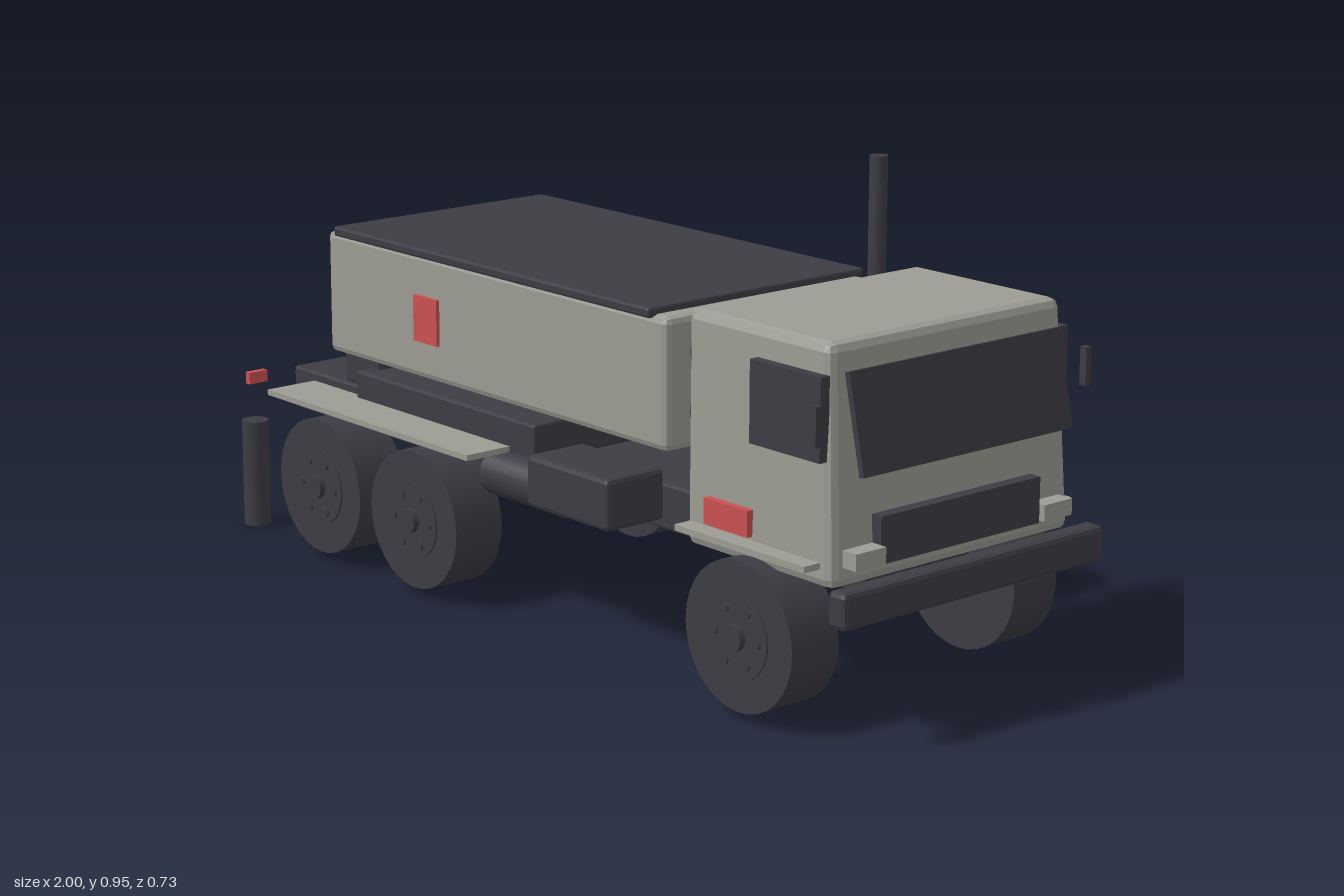
import * as THREE from 'three';
import { RoundedBoxGeometry } from 'three/addons/geometries/RoundedBoxGeometry.js';

const material = (name, color) => {
  const m = new THREE.MeshStandardMaterial({ color });
  m.name = name;
  return m;
};

export function createModel() {
  const grey = material('warm grey paint', 0x9c9c94);
  const dark = material('dark charcoal', 0x3d3c44);
  const red = material('marker red', 0xcb5252);

  const truck = new THREE.Group();
  truck.name = 'truck';

  const add = (name, geometry, mat, x = 0, y = 0, z = 0) => {
    const mesh = new THREE.Mesh(geometry, mat);
    mesh.name = name;
    mesh.position.set(x, y, z);
    truck.add(mesh);
    return mesh;
  };

  // Box given by its extents, with an optional chamfer
  const box = (name, mat, [x0, x1], [y0, y1], [z0, z1], chamfer = 0) => {
    const size = [x1 - x0, y1 - y0, z1 - z0];
    let geometry;
    if (chamfer) {
      geometry = new RoundedBoxGeometry(...size, 1, chamfer);
      geometry.computeVertexNormals();
    } else {
      geometry = new THREE.BoxGeometry(...size);
    }
    return add(name, geometry, mat, (x0 + x1) / 2, (y0 + y1) / 2, (z0 + z1) / 2);
  };

  // The same box on both sides of the truck
  const pair = (name, mat, xs, ys, [z0, z1], chamfer = 0) => {
    box(name + 'Left', mat, xs, ys, [z0, z1], chamfer);
    box(name + 'Right', mat, xs, ys, [-z1, -z0], chamfer);
  };

  // Cylinder along a chosen axis
  const rod = (name, mat, radius, length, axis, x, y, z, sides = 24) => {
    const geometry = new THREE.CylinderGeometry(radius, radius, length, sides);
    if (axis === 'x') geometry.rotateZ(Math.PI / 2);
    if (axis === 'z') geometry.rotateX(Math.PI / 2);
    return add(name, geometry, mat, x, y, z);
  };

  // Chassis, bumper and rear support
  box('chassis', dark, [-0.985, 0.84], [0.225, 0.32], [-0.137, 0.137], 0.006);
  box('bumper', dark, [0.95, 0.995], [0.235, 0.306], [-0.338, 0.338], 0.01);
  box('subframe', dark, [-0.605, 0], [0.32, 0.397], [-0.24, 0.24], 0.006);
  box('rearBlock', dark, [-0.695, -0.57], [0.35, 0.495], [-0.205, 0.205], 0.008);

  // Cab: chamfered box, tapered towards the roof and raked at the front
  const [cabLow, cabHigh] = [0.29, 0.737];
  const cab = new RoundedBoxGeometry(0.39, cabHigh - cabLow, 0.62, 1, 0.018);
  const p = cab.attributes.position;
  for (let i = 0; i < p.count; i++) {
    const t = p.getY(i) / (cabHigh - cabLow) + 0.5;
    const s = p.getX(i) / 0.39 + 0.5;
    const back = 0.538 - 0.012 * t;
    const front = 0.932 - 0.027 * t;
    p.setX(i, back + (front - back) * s);
    p.setZ(i, p.getZ(i) * (1 - 0.045 * t));
  }
  cab.computeVertexNormals();
  add('cab', cab, grey, 0, (cabLow + cabHigh) / 2, 0);

  // Windscreen leaning out from the cab front
  const screen = box('windscreen', dark, [0.936, 0.948], [0.498, 0.688], [-0.27, 0.27]);
  screen.rotation.z = 0.22;

  // Cab details
  box('grille', dark, [0.91, 0.95], [0.325, 0.415], [-0.206, 0.206]);
  pair('headlight', grey, [0.92, 0.963], [0.33, 0.362], [0.206, 0.281]);
  pair('sideWindow', dark, [0.72, 0.905], [0.523, 0.68], [0.296, 0.318]);
  pair('mirror', dark, [0.917, 0.933], [0.563, 0.638], [0.341, 0.355]);
  pair('cabMarker', red, [0.6, 0.72], [0.345, 0.396], [0.3, 0.321]);
  pair('frontFender', grey, [0.55, 0.9], [0.326, 0.338], [0.23, 0.348]);
  pair('rearFender', grey, [-0.78, -0.08], [0.326, 0.338], [0.225, 0.348]);

  // Cargo body, lid and side panels
  box('cargoBody', grey, [-0.655, 0.437], [0.435, 0.697], [-0.271, 0.271], 0.014);
  box('cargoLid', dark, [-0.62, 0.396], [0.69, 0.711], [-0.28, 0.28], 0.005);
  pair('bodyMarker', red, [-0.345, -0.267], [0.515, 0.611], [0.266, 0.279]);

  // Cooling fans on the front of the cargo body
  for (const y of [0.51, 0.625]) {
    for (const z of [-0.16, 0, 0.16]) {
      rod('fan', dark, 0.052, 0.022, 'x', 0.441, y, z, 20);
      rod('fanHub', dark, 0.02, 0.012, 'x', 0.455, y, z, 12);
    }
  }

  // Exhaust stack
  rod('exhaustStack', dark, 0.018, 0.303, 'y', 0.483, 0.803, -0.23, 16);

  // Fuel boxes, air tanks, support legs and tail lights
  pair('fuelBox', dark, [0.055, 0.305], [0.255, 0.361], [0.16, 0.305], 0.01);
  pair('tailLight', red, [-1, -0.985], [0.295, 0.321], [0.21, 0.257]);
  for (const side of [1, -1]) {
    rod('airTank', dark, 0.047, 0.23, 'x', 0, 0.28, side * 0.243);
    rod('supportLeg', dark, 0.029, 0.235, 'y', -0.915, 0.1175, side * 0.292, 20);
  }

  // Wheels with rim, hub and a ring of bolts
  for (const x of [-0.595, -0.265, 0.725]) {
    for (const side of [1, -1]) {
      const y = 0.163;
      rod('tyre', dark, 0.145, 0.116, 'z', x, y, side * 0.288, 32);
      rod('rim', dark, 0.082, 0.006, 'z', x, y, side * 0.347);
      rod('hub', dark, 0.025, 0.02, 'z', x, y, side * 0.353, 16);
      for (let i = 0; i < 6; i++) {
        const a = (i * Math.PI) / 3;
        rod('bolt', dark, 0.009, 0.01, 'z', x + 0.058 * Math.cos(a), y + 0.058 * Math.sin(a), side * 0.35, 8);
      }
    }
  }

  return truck;
}
